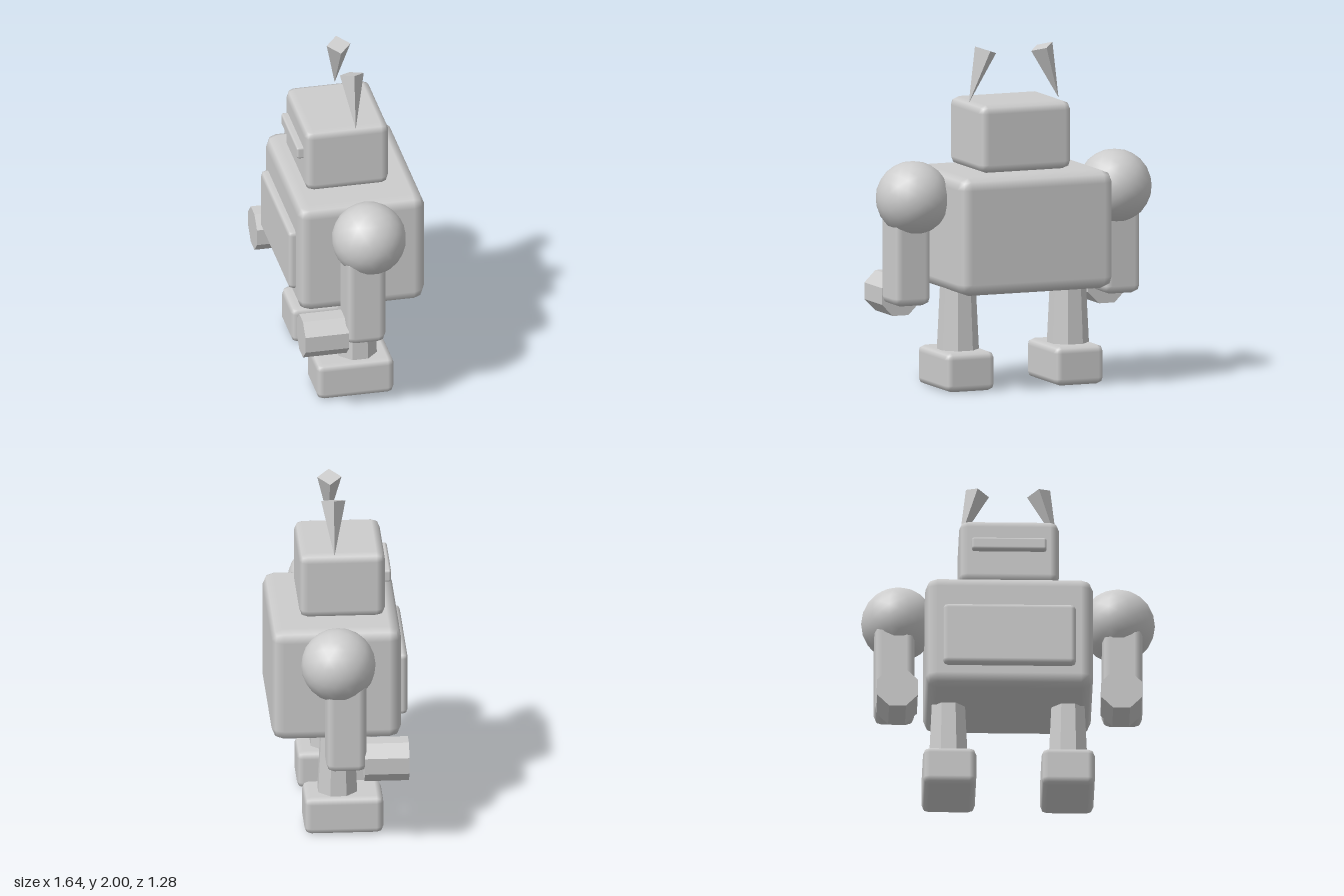
import * as THREE from 'three';
import { RoundedBoxGeometry } from 'three/addons/geometries/RoundedBoxGeometry.js';

const grey = new THREE.MeshStandardMaterial({ color: 0xcccccc });
grey.name = 'plain grey';

// Faceted normals for the low-sided cylinders and spikes
function faceted(geometry) {
  const flat = geometry.toNonIndexed();
  flat.computeVertexNormals();
  return flat;
}

export function createModel() {
  const model = new THREE.Group();
  model.name = 'toyRobot';

  // The robot stands turned 30 degrees towards its right
  const robot = new THREE.Group();
  robot.name = 'turnedRobot';
  robot.rotation.y = -Math.PI / 6;
  robot.position.set(-0.007, 0, -0.004);
  model.add(robot);

  function add(name, geometry, x, y, z) {
    const mesh = new THREE.Mesh(geometry, grey);
    mesh.name = name;
    mesh.position.set(x, y, z);
    robot.add(mesh);
    return mesh;
  }

  // Box with a two-step bevel, given by its centre and size
  function bevelBox(name, [w, h, d], radius, x, y, z) {
    return add(name, new RoundedBoxGeometry(w, h, d, 1, radius), x, y, z);
  }

  // Eight-sided cylinder with flats facing the axes
  function octagon(top, bottom, length) {
    return faceted(new THREE.CylinderGeometry(top, bottom, length, 8).rotateY(Math.PI / 8));
  }

  // Torso, chest plate, head and visor
  bevelBox('torso', [0.976, 0.694, 0.755], 0.07, 0, 0.932, -0.108);
  bevelBox('chestPlate', [0.775, 0.384, 0.1], 0.03, 0, 0.891, 0.262);
  bevelBox('head', [0.58, 0.4, 0.5], 0.05, 0, 1.477, -0.063);
  bevelBox('visor', [0.436, 0.076, 0.08], 0.015, 0, 1.507, 0.186);

  for (const side of [1, -1]) {
    const label = side > 0 ? 'left' : 'right';

    // Antenna: four-sided spike standing on its tip, leaning inwards
    const spike = faceted(new THREE.CylinderGeometry(0.071, 0, 0.325, 4));
    add(label + 'Antenna', spike, side * 0.231, 1.824, -0.11).rotation.z = side * 0.332;

    // Arm: ball shoulder, upper arm and forward-pointing forearm
    add(label + 'Shoulder', new THREE.IcosahedronGeometry(0.217, 3), side * 0.638, 1.133, -0.11);
    bevelBox(label + 'UpperArm', [0.235, 0.57, 0.235], 0.047, side * 0.663, 0.789, -0.069);
    add(label + 'Forearm', octagon(0.128, 0.128, 0.26), side * 0.652, 0.541, 0.167).rotation.x = Math.PI / 2;

    // Leg and foot
    add(label + 'Leg', octagon(0.103, 0.125, 0.45), side * 0.348, 0.405, -0.098);
    bevelBox(label + 'Foot', [0.31, 0.23, 0.46], 0.04, side * 0.345, 0.115, -0.066);
  }

  return model;
}
